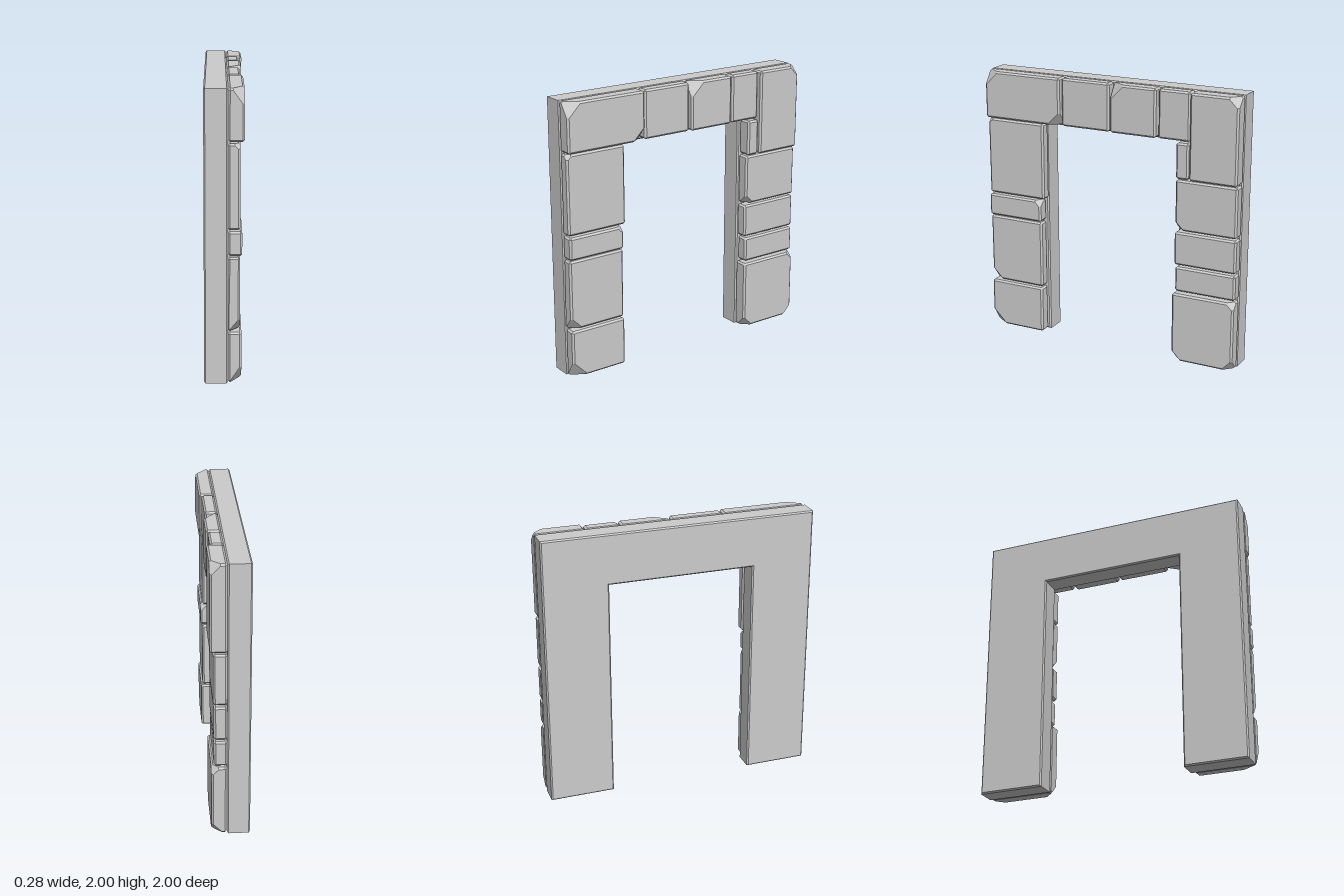
import * as THREE from 'three';
import { ConvexGeometry } from 'three/addons/geometries/ConvexGeometry.js';

const BASE = 0.02; // plane where the facing stones meet the backing
const BEVEL = 0.013;

const material = new THREE.MeshStandardMaterial({ color: 0xcccccc, flatShading: true });

// Bevelled block; chips maps a corner key ('z sign' + 'y sign') to the size of the chip on its outer face
function stoneGeometry(z0, z1, y0, y1, x1, chips) {
  const points = [];
  const add = (x, y, z) => points.push(new THREE.Vector3(x, y, z));
  const b = BEVEL;
  for (const [X, sx] of [[BASE, -1], [x1, 1]]) {
    for (const [Y, sy] of [[y0, -1], [y1, 1]]) {
      for (const [Z, sz] of [[z0, -1], [z1, 1]]) {
        const key = (sz > 0 ? '+' : '-') + (sy > 0 ? '+' : '-');
        const c = sx > 0 ? chips[key] : 0;
        const x = (d) => X - sx * d, y = (d) => Y - sy * d, z = (d) => Z - sz * d;
        if (c) {
          const cx = Math.min(0.075, c);
          add(X, y(c), z(b)); add(x(b), y(c), Z);
          add(X, y(b), z(c)); add(x(b), Y, z(c));
          add(x(cx), Y, z(b)); add(x(cx), y(b), Z);
        } else {
          add(X, y(b), z(b)); add(x(b), Y, z(b)); add(x(b), y(b), Z);
        }
      }
    }
  }
  return new ConvexGeometry(points);
}

// Plain doorway-shaped slab behind the stones
function backingGeometry() {
  const outline = [[-1, 0], [-0.54, 0], [-0.54, 1.63], [0.525, 1.63], [0.525, 0], [1, 0], [1, 2], [-1, 2]];
  const shape = new THREE.Shape(outline.map(([x, y]) => new THREE.Vector2(x, y)));
  const b = 0.01;
  const geometry = new THREE.ExtrudeGeometry(shape, {
    depth: 0.16 - 2 * b, bevelThickness: b, bevelSize: b, bevelOffset: -b, bevelSegments: 1,
  });
  return geometry.translate(0, 0, -0.14 + b).rotateY(Math.PI / 2);
}

// name, z range, y range, outer x, chipped corners
const STONES = [
  ['leftFootStone', 0.56, 1, 0.005, 0.36, 0.11, { '+-': 0.11 }],
  ['leftLowerStone', 0.56, 1, 0.37, 0.88, 0.1, { '+-': 0.08 }],
  ['leftThinStone', 0.56, 1, 0.89, 1.055, 0.113, { '-+': 0.045 }],
  ['leftUpperStone', 0.535, 1, 1.065, 1.64, 0.1, { '++': 0.035 }],
  ['leftCornerStone', 0.38, 1, 1.65, 2, 0.127, { '++': 0.1, '--': 0.09 }],
  ['lintelStoneA', -0.01, 0.37, 1.65, 2, 0.11, {}],
  ['lintelStoneB', -0.38, -0.025, 1.65, 2, 0.122, { '++': 0.1 }],
  ['lintelStoneC', -0.635, -0.395, 1.65, 2, 0.11, {}],
  ['rightCornerStone', -1, -0.643, 1.38, 2, 0.135, { '-+': 0.07 }],
  ['rightFillerStone', -0.635, -0.54, 1.38, 1.64, 0.125, {}],
  ['rightUpperStone', -1, -0.535, 1, 1.37, 0.113, { '+-': 0.06 }],
  ['rightMiddleStone', -1, -0.53, 0.74, 0.985, 0.11, {}],
  ['rightThinStone', -1, -0.54, 0.54, 0.725, 0.11, {}],
  ['rightFootStone', -1, -0.525, 0.005, 0.525, 0.127, { '--': 0.07, '+-': 0.07, '-+': 0.05 }],
];

export function createModel() {
  const group = new THREE.Group();
  group.name = 'stoneDoorway';
  const add = (name, geometry) => {
    const mesh = new THREE.Mesh(geometry, material);
    mesh.name = name;
    group.add(mesh);
  };
  add('backing', backingGeometry());
  for (const [name, ...spec] of STONES) add(name, stoneGeometry(...spec));
  return group;
}
